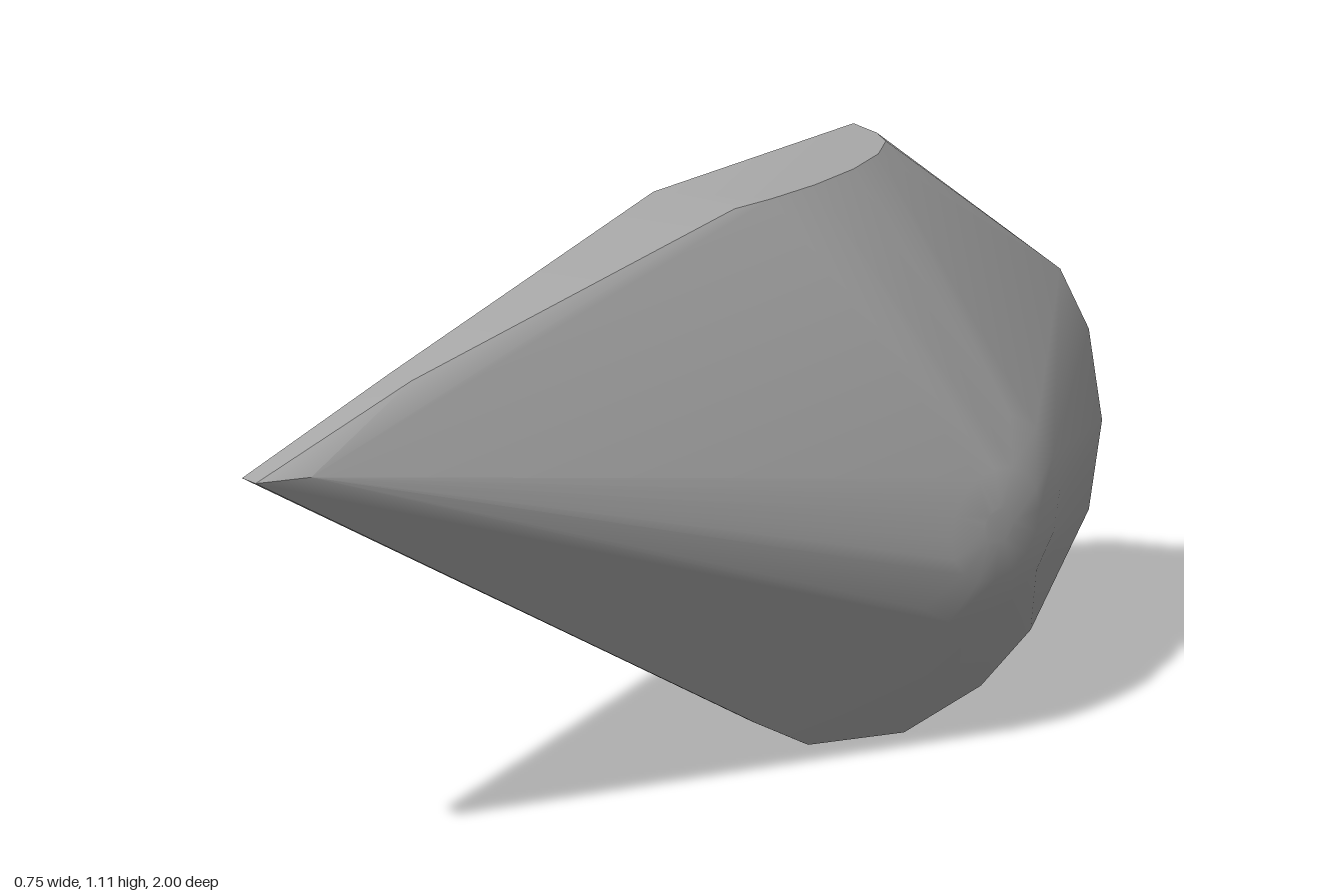
import * as THREE from 'three';
import { ConvexGeometry } from 'three/addons/geometries/ConvexGeometry.js';
import { toCreasedNormals } from 'three/addons/utils/BufferGeometryUtils.js';

const CY = 0.46, CZ = -0.53; // shared axis of hub, rim and dome

export function createModel() {
  const group = new THREE.Group();
  const grey = new THREE.MeshStandardMaterial({ color: 0xa8a8a8 });
  grey.name = 'plain grey';
  const points = [];
  const add = (x, y, z) => points.push(new THREE.Vector3(x, y, z));
  const ring = (x, r, n) => {
    for (let i = 0; i < n; i++) {
      const a = (i / n) * Math.PI * 2;
      add(x, CY + r * Math.sin(a), CZ + r * Math.cos(a));
    }
  };

  // flat round hub on the right side
  ring(-0.375, 0.119, 20);

  // wide rim: offsets [dz, dy, half thickness], thicker where it is flattened
  const rim = [
    [-0.39, 0.3, 0.006], [-0.456, 0.17, 0.008], [-0.47, 0, 0.027], [-0.456, -0.17, 0.008],
    [-0.32, -0.36, 0.006], [-0.2, -0.432, 0.008], [0, -0.46, 0.027], [0.21, -0.432, 0.008],
    [0.33, -0.36, 0.006],
  ];
  for (const [dz, dy, h] of rim) {
    add(0.098 - h, CY + dy, CZ + dz);
    add(0.098 + h, CY + dy, CZ + dz);
  }

  // shallow dome on the left side
  ring(0.37, 0.035, 16);
  ring(0.36, 0.105, 16);
  ring(0.32, 0.19, 16);

  // flat top: straight on one side, curved on the other
  const top = [
    [0, -0.525], [0.06, -0.525], [0.1, -0.51], [0.135, -0.46], [0.158, -0.38],
    [0.167, -0.28], [0.164, -0.18], [0.155, -0.1], [0, -0.05],
  ];
  for (const [x, z] of top) add(x, 1.11, z);

  // ridge running down to the narrow front tip
  add(0.072, 0.978, 0.64);
  add(0.125, 0.978, 0.64);
  add(0.08, 0.88, 1);
  add(0.115, 0.88, 1);
  add(0.15, 0.875, 0.9);
  add(0.06, 0.875, 0.93);

  const body = new THREE.Mesh(toCreasedNormals(new ConvexGeometry(points), 0.6), grey);
  body.name = 'facetedBody';
  group.add(body);
  return group;
}
